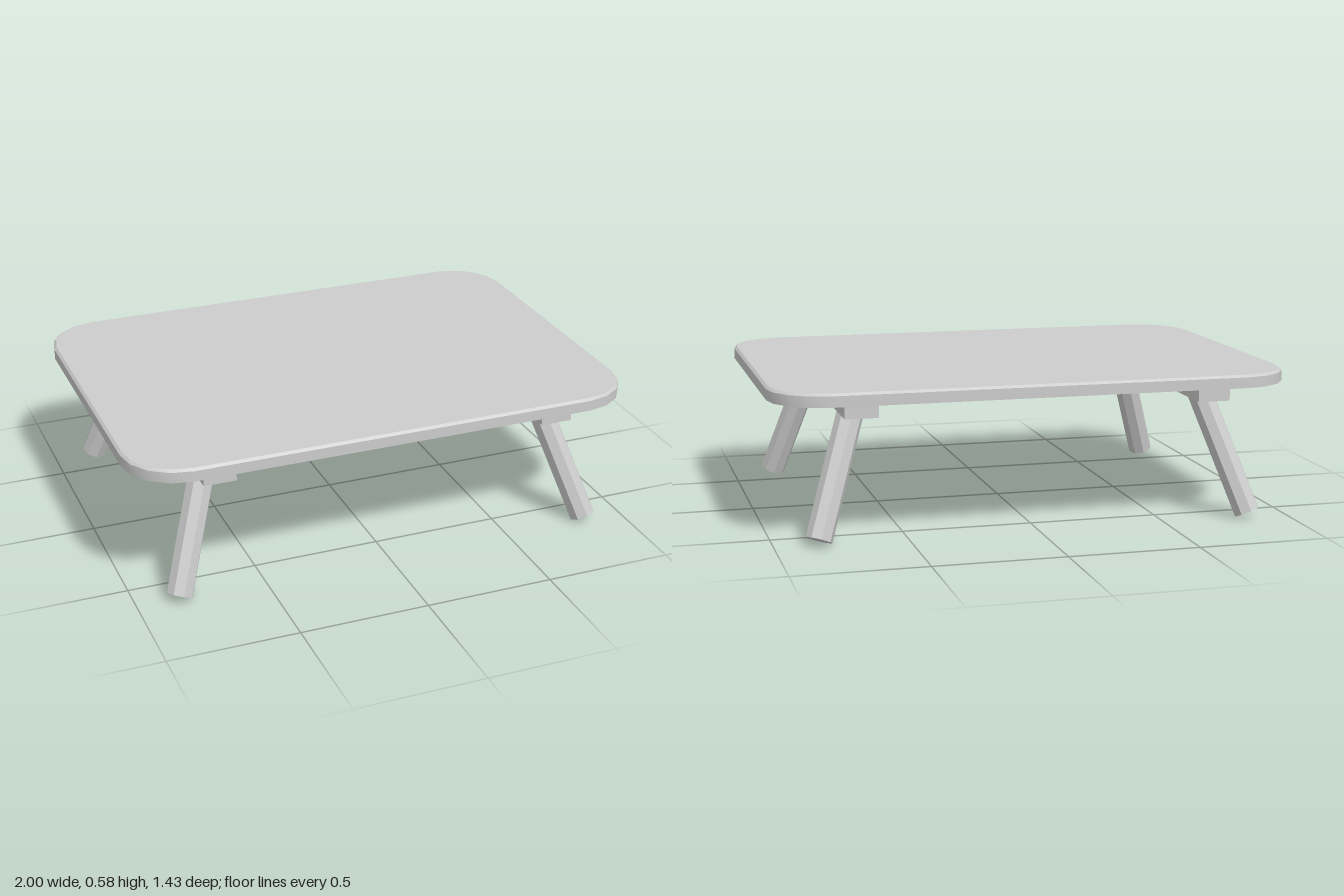
import * as THREE from 'three';
import { toCreasedNormals } from 'three/addons/utils/BufferGeometryUtils.js';

// Rounded rectangle outline with four segments per corner, as [x, z] pairs
function outline(halfX, halfZ, radius, segments = 4) {
  const points = [];
  const corners = [[1, 1], [-1, 1], [-1, -1], [1, -1]];
  corners.forEach(([sx, sz], quarter) => {
    for (let i = 0; i <= segments; i++) {
      const a = (quarter + i / segments) * Math.PI / 2;
      points.push([
        sx * (halfX - radius) + radius * Math.cos(a),
        sz * (halfZ - radius) + radius * Math.sin(a),
      ]);
    }
  });
  return points;
}

// Slab lofted through rings of [height, inset], closed at both ends
function slabGeometry(halfX, halfZ, radius, rings) {
  const positions = [];
  const loops = rings.map(([y, inset]) =>
    outline(halfX - inset, halfZ - inset, radius - inset).map(([x, z]) => [x, y, z]));
  const n = loops[0].length;
  const bottom = loops[0];
  const top = loops[loops.length - 1];
  for (let i = 0; i < n; i++) {
    const j = (i + 1) % n;
    for (let k = 0; k < loops.length - 1; k++) {
      const a = loops[k][i], b = loops[k][j], c = loops[k + 1][j], d = loops[k + 1][i];
      positions.push(...a, ...d, ...c, ...a, ...c, ...b);
    }
    positions.push(0, top[0][1], 0, ...top[j], ...top[i]);
    positions.push(0, bottom[0][1], 0, ...bottom[i], ...bottom[j]);
  }
  const geometry = new THREE.BufferGeometry();
  geometry.setAttribute('position', new THREE.Float32BufferAttribute(positions, 3));
  return toCreasedNormals(geometry, Math.PI / 6);
}

export function createModel() {
  const model = new THREE.Group();
  model.name = 'lowTable';
  const grey = new THREE.MeshStandardMaterial({ color: 0xcccccc });
  grey.name = 'light grey';

  const add = (name, geometry) => {
    const mesh = new THREE.Mesh(geometry, grey);
    mesh.name = name;
    model.add(mesh);
    return mesh;
  };

  // Tabletop with a small chamfer on its upper edge
  add('tabletop', slabGeometry(1, 0.713, 0.213, [[0.525, 0], [0.566, 0], [0.575, 0.01]]));

  for (const sx of [1, -1]) {
    const side = sx > 0 ? 'left' : 'right';

    // Rail under the tabletop
    add(side + 'Rail', new THREE.BoxGeometry(0.125, 0.057, 1.32)).position.set(sx * 0.677, 0.4985, 0);

    // Splayed eight-sided legs, ends cut square to their axis
    for (const sz of [1, -1]) {
      const foot = new THREE.Vector3(sx * 0.836, 0.021, sz * 0.627);
      const head = new THREE.Vector3(sx * 0.677, 0.5, sz * 0.478);
      const axis = head.clone().sub(foot);
      const geometry = new THREE.CylinderGeometry(0.051, 0.051, axis.length(), 8).toNonIndexed();
      geometry.computeVertexNormals();
      const leg = add(side + (sz > 0 ? 'Front' : 'Back') + 'Leg', geometry);
      leg.position.copy(foot).add(head).multiplyScalar(0.5);
      leg.quaternion.setFromUnitVectors(new THREE.Vector3(0, 1, 0), axis.normalize());
    }
  }
  return model;
}
